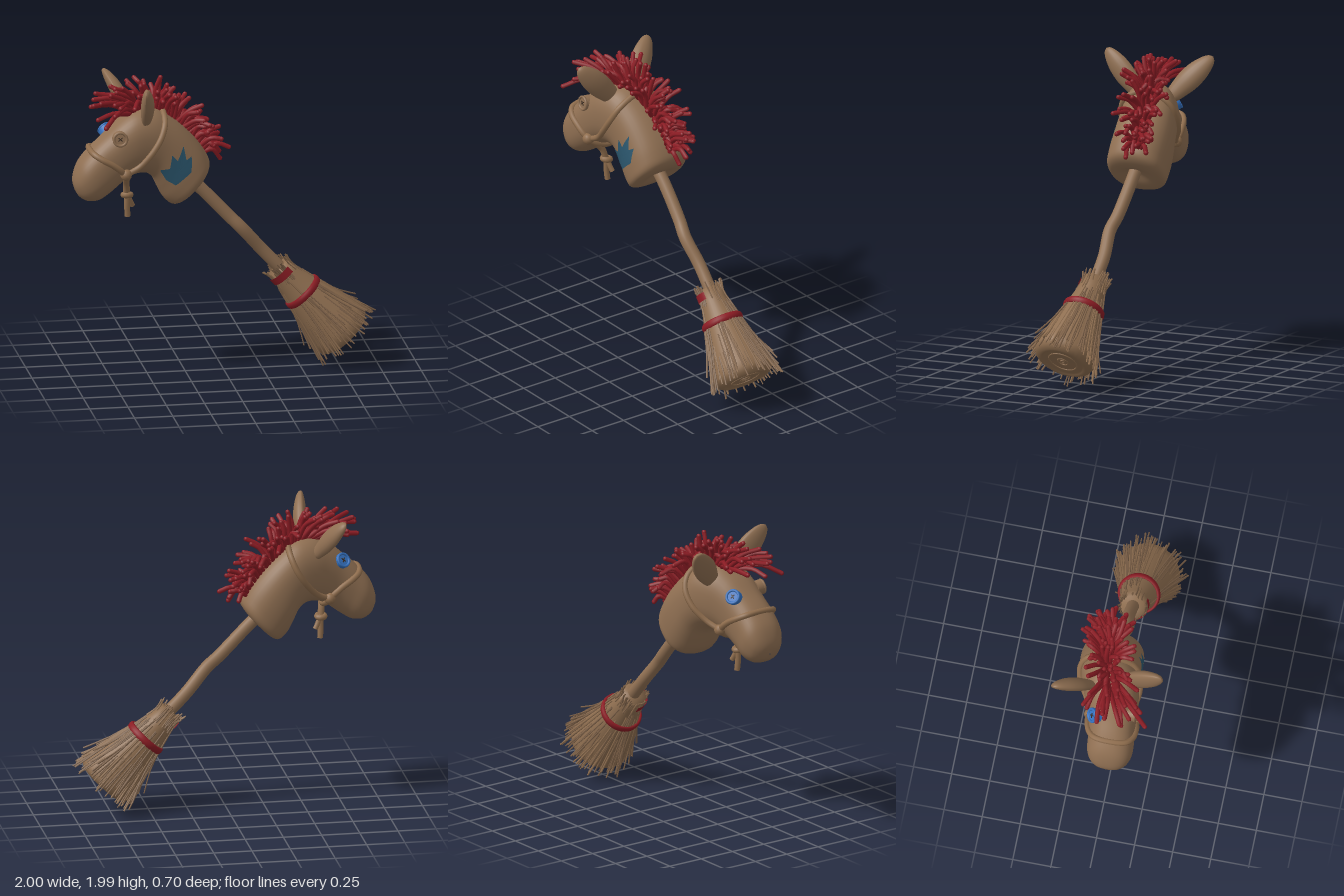
import * as THREE from 'three';
import { mergeGeometries } from 'three/addons/utils/BufferGeometryUtils.js';

const V = (x, y, z) => new THREE.Vector3(x, y, z);
const mat = (name, color, side = THREE.FrontSide) => {
  const m = new THREE.MeshStandardMaterial({ color, side });
  m.name = name;
  return m;
};
let seed = 7;
const rand = (a = 0, b = 1) => {
  seed = (seed * 16807) % 2147483647;
  return a + (b - a) * (seed / 2147483647);
};
const tube = (pts, r, seg = 24, sides = 8, closed = false) =>
  new THREE.TubeGeometry(new THREE.CatmullRomCurve3(pts, closed), seg, r, sides, closed);
const ball = (p, r, w = 12, h = 8) => new THREE.SphereGeometry(r, w, h).translate(p.x, p.y, p.z);

// Head sections from neck to muzzle: top x, top y, bottom x, bottom y, centre z, half width
const SECTIONS = [
  [-0.2, 1.27, -0.23, 1.24, -0.04, 0.02],
  [-0.135, 1.3, -0.27, 1.16, -0.04, 0.13],
  [-0.09, 1.38, -0.335, 1.12, -0.04, 0.19],
  [-0.12, 1.46, -0.39, 1.16, -0.04, 0.2],
  [-0.22, 1.59, -0.43, 1.23, -0.04, 0.2],
  [-0.34, 1.70, -0.47, 1.31, -0.03, 0.195],
  [-0.46, 1.775, -0.52, 1.345, -0.01, 0.19],
  [-0.58, 1.775, -0.59, 1.345, 0.015, 0.18],
  [-0.68, 1.72, -0.65, 1.32, 0.035, 0.165],
  [-0.78, 1.63, -0.71, 1.275, 0.05, 0.152],
  [-0.87, 1.55, -0.77, 1.23, 0.06, 0.15],
  [-0.95, 1.46, -0.83, 1.195, 0.062, 0.145],
  [-0.985, 1.38, -0.9, 1.19, 0.062, 0.115],
  [-0.995, 1.32, -0.955, 1.22, 0.062, 0.065],
  [-0.985, 1.27, -0.982, 1.262, 0.062, 0.005],
];
const topLine = new THREE.CatmullRomCurve3(SECTIONS.map(s => V(s[0], s[1], s[4])));
const bottomLine = new THREE.CatmullRomCurve3(SECTIONS.map(s => V(s[2], s[3], s[4])));
const widthLine = new THREE.CatmullRomCurve3(SECTIONS.map((s, i) => V(i, s[5], 0)));

function headGeometry() {
  const n = 70, m = 40, pos = [], idx = [];
  const soft = v => Math.sign(v) * Math.abs(v) ** 0.85;
  for (let i = 0; i <= n; i++) {
    const a = topLine.getPoint(i / n), b = bottomLine.getPoint(i / n), w = widthLine.getPoint(i / n).y;
    const mid = a.clone().lerp(b, 0.5), half = a.clone().sub(mid);
    for (let j = 0; j < m; j++) {
      const t = (j / m) * Math.PI * 2;
      const p = mid.clone().addScaledVector(half, soft(Math.cos(t)));
      pos.push(p.x, p.y, p.z + w * soft(Math.sin(t)));
      if (i < n) {
        const k = i * m + j, l = i * m + (j + 1) % m;
        idx.push(k, k + m, l, l, k + m, l + m);
      }
    }
  }
  const g = new THREE.BufferGeometry();
  g.setAttribute('position', new THREE.Float32BufferAttribute(pos, 3));
  g.setIndex(idx);
  g.computeVertexNormals();
  return g;
}

export function createModel() {
  const model = new THREE.Group();
  const brown = mat('brown cloth', 0x8f6f52), straw = mat('straw', 0x8d6d4f);
  const darkStraw = mat('dark straw', 0x80634a), rope = mat('rope', 0x8f6d4d);
  const red = mat('red yarn', 0x8c1c24, THREE.DoubleSide), blue = mat('blue button', 0x3470bd);
  const patchBlue = mat('blue patch', 0x2b566d, THREE.DoubleSide), dark = mat('dark thread', 0x3a2c22);
  const add = (name, geo, material, parent = model) => {
    const m = new THREE.Mesh(geo, material);
    m.name = name;
    parent.add(m);
    return m;
  };

  const head = add('head', headGeometry(), brown);
  const cast = (p, dir) =>
    new THREE.Raycaster(p.clone().addScaledVector(dir, 2), dir.clone().negate()).intersectObject(head)[0];
  const onHead = (x, y, side, lift) => {
    const hit = cast(V(x, y, 0), V(0, 0, side));
    return hit ? hit.point.addScaledVector(hit.face.normal, lift) : V(x, y, 0.02);
  };

  // Ears: broad flattened leaves, flatter on the forward side
  const ear = (name, root, tip) => {
    const y = tip.clone().sub(root), len = y.length();
    y.normalize();
    const prof = [[0, 0], [0.045, 0], [0.066, 0.2], [0.078, 0.42], [0.073, 0.65], [0.052, 0.85], [0.028, 0.96], [0, 1]];
    const curve = new THREE.SplineCurve(prof.map(([r, h]) => new THREE.Vector2(r, h * len)));
    const g = new THREE.LatheGeometry(curve.getPoints(24).map(p => p.setX(Math.max(0, p.x))), 20);
    const p = g.attributes.position;
    for (let i = 0; i < p.count; i++) p.setX(i, p.getX(i) * (p.getX(i) < 0 ? 0.4 : 0.72));
    g.computeVertexNormals();
    const x = V(1, 0, 0.25).addScaledVector(y, -y.x - 0.25 * y.z).normalize(), z = x.clone().cross(y);
    g.applyMatrix4(new THREE.Matrix4().makeBasis(x, y, z).setPosition(root));
    add(name, g, brown);
  };
  ear('leftEar', V(-0.525, 1.7, 0.08), V(-0.56, 1.975, 0.34));
  ear('rightEar', V(-0.59, 1.69, -0.11), V(-0.735, 1.945, -0.34));

  // Button eyes with crossed stitches
  const eye = (name, target, dir, material) => {
    const hit = cast(target, dir.normalize()), g = new THREE.Group();
    g.name = name;
    g.position.copy(hit.point);
    g.quaternion.setFromUnitVectors(V(0, 0, 1), dir);
    add('button', new THREE.CylinderGeometry(0.048, 0.05, 0.05, 28).rotateX(Math.PI / 2), material, g);
    add('buttonRim', new THREE.TorusGeometry(0.042, 0.009, 8, 28).translate(0, 0, 0.025), material, g);
    for (const a of [-1, 1])
      add('stitch', new THREE.BoxGeometry(0.034, 0.005, 0.006).rotateZ(a * 0.7).translate(0, 0, 0.027), dark, g);
    model.add(g);
  };
  eye('leftEye', V(-0.69, 1.6, 0), V(-0.08, 0.12, 1), brown);
  eye('rightEye', V(-0.77, 1.63, -0.085), V(-0.42, 0.5, -0.76), blue);

  // Crown patch laid over the neck
  const crown = [[-0.437, 1.39], [-0.375, 1.4], [-0.362, 1.49], [-0.325, 1.45], [-0.285, 1.54], [-0.268, 1.45],
    [-0.232, 1.47], [-0.235, 1.37], [-0.335, 1.285], [-0.395, 1.32]];
  const pos = [], idx = [], rim = crown.length * 4, rings = 6;
  for (let k = 0; k <= rings; k++) for (let j = 0; j < rim; j++) {
    const a = crown[j >> 2], b = crown[((j >> 2) + 1) % crown.length], f = (j % 4) / 4, s = k / rings;
    const x = a[0] + (b[0] - a[0]) * f, y = a[1] + (b[1] - a[1]) * f;
    pos.push(...onHead(-0.32 + (x + 0.32) * s, 1.38 + (y - 1.38) * s, 1, 0.004).toArray());
    const c = k * rim + j, d = k * rim + (j + 1) % rim;
    if (k < rings) idx.push(c, c + rim, d, d, c + rim, d + rim);
  }
  const patch = new THREE.BufferGeometry();
  patch.setAttribute('position', new THREE.Float32BufferAttribute(pos, 3));
  patch.setIndex(idx);
  patch.computeVertexNormals();
  add('crownPatch', patch, patchBlue);

  // Rope halter
  const path = (pts, side) => pts.map(([x, y]) => onHead(x, y, side, 0.007));
  const nose = [[-0.865, 1.515], [-0.82, 1.49], [-0.75, 1.45], [-0.69, 1.4], [-0.66, 1.355]];
  const cheek = [[-0.67, 1.38], [-0.58, 1.425], [-0.5, 1.51], [-0.435, 1.61], [-0.405, 1.69]];
  add('noseband', tube([V(-0.885, 1.53, 0.06), ...path(nose, 1), V(-0.645, 1.31, 0.04),
    ...path(nose, -1).reverse()], 0.02, 80, 8, true), rope);
  add('cheekStrap', tube([...path(cheek, 1), V(-0.4, 1.755, -0.02), ...path(cheek, -1).reverse()], 0.02, 80), rope);
  for (const s of [1, -1]) add('halterKnot', ball(onHead(-0.67, 1.385, s, 0.012), 0.038), rope);
  add('leadRope', tube([V(-0.66, 1.35, 0.15), V(-0.65, 1.29, 0.09), V(-0.64, 1.2, 0.06)], 0.022), rope);
  add('leadKnot', new THREE.TorusGeometry(0.024, 0.02, 8, 16).rotateX(1.4).translate(-0.64, 1.21, 0.06), rope);
  add('leadTail', tube([V(-0.64, 1.22, 0.06), V(-0.64, 1.14, 0.06), V(-0.635, 1.065, 0.055)], 0.019), rope);
  add('leadTail', tube([V(-0.64, 1.22, 0.06), V(-0.62, 1.17, 0.05), V(-0.6, 1.13, 0.04)], 0.017), rope);

  // Yarn mane, fanning from forelock to neck
  const yarn = [];
  for (let i = 0; i < 26; i++) for (let j = 0; j < 4; j++) {
    const t = i / 25, u = 0.52 - 0.31 * t, k = j - 1.5, front = Math.max(0, 1 - 4 * t);
    const root = topLine.getPoint(u);
    root.y -= 0.015;
    root.z += k * 0.022 - 0.05 * t;
    const a = THREE.MathUtils.degToRad(165 - 230 * t + 85 * t * t + rand(-20, 20));
    const spread = k * 0.4 + rand(-0.25, 0.25) + 0.2 + 0.25 * front - 0.6 * t;
    const d = V(Math.cos(a), Math.sin(a), spread).normalize();
    const len = rand(0.17, 0.25) + 0.07 * front - 0.08 * t;
    const mid = root.clone().addScaledVector(d, len * 0.55).add(V(0, 0.015, 0));
    const tip = root.clone().addScaledVector(d, len).add(V(rand(-0.02, 0.02), rand(-0.06, 0), rand(-0.03, 0.03)));
    tip.y = Math.min(tip.y, 1.975);
    yarn.push(tube([root, mid, tip], 0.0155, 7, 6), ball(tip, 0.0155, 6, 4));
  }
  add('mane', mergeGeometries(yarn), red);

  // Slightly crooked stick
  add('stick', tube([V(-0.23, 1.29, -0.04), V(-0.12, 1.18, -0.04), V(0.04, 1.01, -0.03), V(0.12, 0.93, -0.015),
    V(0.25, 0.78, -0.035), V(0.4, 0.62, -0.03)], 0.041, 40, 14), brown);

  // Broom: local y runs from the stick to the straw ends
  const broom = new THREE.Group();
  broom.name = 'broom';
  broom.position.set(0.36, 0.65, -0.03);
  broom.quaternion.setFromUnitVectors(V(0, 1, 0), V(0.685, -0.727, 0.04).normalize());
  model.add(broom);
  const shape = [[0, 0.01], [0.078, 0], [0.087, 0.08], [0.12, 0.22], [0.16, 0.38], [0.197, 0.54], [0.205, 0.59],
    [0.19, 0.625], [0.16, 0.645], [0.14, 0.645], [0.133, 0.635], [0, 0.635]];
  add('broomBody', new THREE.LatheGeometry(shape.map(p => new THREE.Vector2(...p)), 36), straw, broom);
  const radiusAt = s => THREE.MathUtils.lerp(0.08, 0.207, Math.max(0, (s - 0.04) / 0.56));
  const band = new THREE.TorusGeometry(0.127, 0.013, 8, 40).rotateX(Math.PI / 2).scale(1, 1.9, 1);
  add('broomBand', band.translate(0, 0.235, 0), red, broom);
  add('upperBand', new THREE.CylinderGeometry(0.096, 0.096, 0.05, 24, 1, true, -0.7, 2.3).translate(0, 0.045, 0), red, broom);
  for (const r of [0.095, 0.035, 0.014])
    add('endRing', new THREE.TorusGeometry(r, 0.005, 6, 32).rotateX(Math.PI / 2).translate(0, 0.636, 0), straw, broom);

  // Loose straws along the body and tufts around the top
  const strands = [[], []];
  const strand = (s0, s1, flare, k) => {
    const a = rand(0, Math.PI * 2), da = rand(-0.12, 0.12);
    const pts = [0, 0.5, 1].map(f => {
      const s = s0 + (s1 - s0) * f, r = radiusAt(s) + flare * f * f, b = a + da * f;
      return V(Math.cos(b) * r, s, Math.sin(b) * r);
    });
    strands[k].push(tube(pts, rand(0.004, 0.0065), 4, 5));
  };
  for (let i = 0; i < 120; i++) strand(rand(0.1, 0.5), rand(0.58, 0.68), rand(0, 0.025), i % 2);
  for (let i = 0; i < 14; i++) strand(rand(0.2, 0.3), rand(0.5, 0.6), rand(0.03, 0.06), 1);
  for (let i = 0; i < 50; i++) strand(rand(0.03, 0.12), rand(-0.045, 0), rand(0, 0.02), i % 2);
  add('straws', mergeGeometries(strands[0]), straw, broom);
  add('darkStraws', mergeGeometries(strands[1]), darkStraw, broom);
  return model;
}
